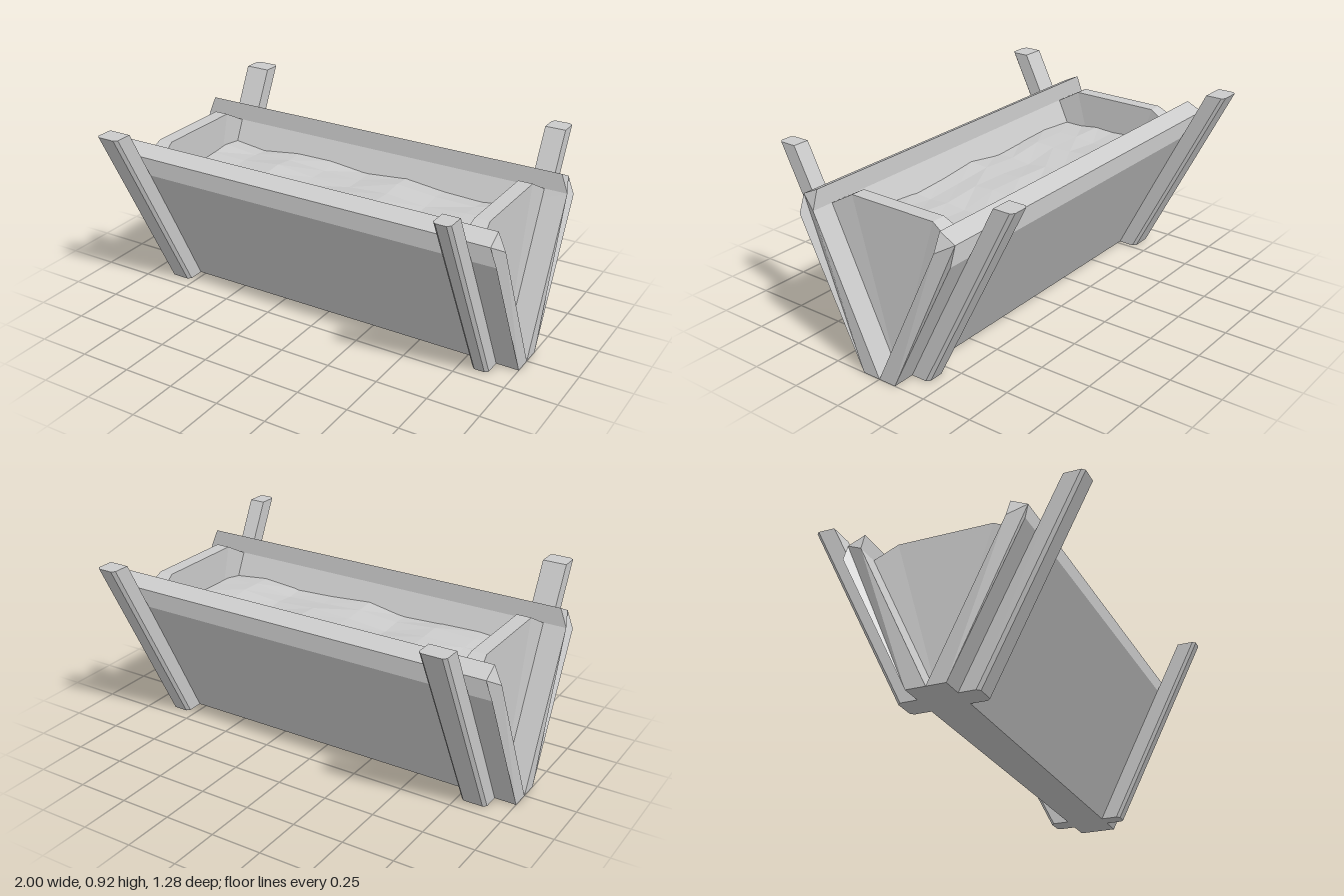
import * as THREE from 'three';

const material = new THREE.MeshStandardMaterial({ color: 0xcccccc, flatShading: true });
const sheetMaterial = new THREE.MeshStandardMaterial({
  color: 0xcccccc, flatShading: true, side: THREE.DoubleSide,
});

function addMesh(parent, geometry, name, mat = material) {
  const mesh = new THREE.Mesh(geometry, mat);
  mesh.name = name;
  parent.add(mesh);
  return mesh;
}

// Solid along x from an outline of [z, y, lowX, highX], counter-clockwise in z, y
function loftX(outline) {
  const low = outline.map(([z, y, x]) => [x, y, z]);
  const high = outline.map(([z, y, , x]) => [x, y, z]);
  const n = outline.length;
  const out = [];
  for (let i = 0; i < n; i++) {
    const j = (i + 1) % n;
    out.push(low[i], high[i], high[j], low[i], high[j], low[j]);
  }
  const flat = outline.map(([z, y]) => new THREE.Vector2(z, y));
  for (const [a, b, c] of THREE.ShapeUtils.triangulateShape(flat, [])) {
    out.push(low[a], low[b], low[c], high[a], high[c], high[b]);
  }
  const geometry = new THREE.BufferGeometry();
  geometry.setAttribute('position', new THREE.Float32BufferAttribute(out.flat(), 3));
  geometry.computeVertexNormals();
  return geometry;
}

// Leaning post: chamfered footprint extruded upwards, then sheared outwards
function postGeometry(x0, x1) {
  const c = 0.015, inner = -0.088, outer = -0.183;
  const footprint = new THREE.Shape([
    [x0, inner], [x0, outer + c], [x0 + c, outer],
    [x1 - c, outer], [x1, outer + c], [x1, inner],
  ].map(([x, s]) => new THREE.Vector2(x, s)));
  const geometry = new THREE.ExtrudeGeometry(footprint, { depth: 0.915, bevelEnabled: false });
  geometry.rotateX(-Math.PI / 2);
  const p = geometry.attributes.position;
  for (let i = 0; i < p.count; i++) p.setZ(i, p.getZ(i) + 0.5 * p.getY(i));
  geometry.computeVertexNormals();
  return geometry;
}

export function createModel() {
  const group = new THREE.Group();
  group.name = 'trough';

  // Sloping side walls with a raised lip and clipped top corners
  const wall = loftX([
    [0, 0, -1, 1], [0.09, 0, -1, 1], [0.42, 0.668, -1, 1],
    [0.42, 0.752, -0.968, 0.968], [0.34, 0.79, -0.965, 0.965], [0.335, 0.703, -1, 1],
  ]);
  addMesh(group, wall, 'frontWall');
  addMesh(group, wall, 'backWall').rotation.y = Math.PI;

  // End boards, narrowing along the top edge
  for (const [name, side] of [['leftEndBoard', 1], ['rightEndBoard', -1]]) {
    const range = (inner, outer) => (side > 0 ? [inner, outer] : [-outer, -inner]);
    addMesh(group, loftX([
      [0, 0, ...range(0.79, 0.89)],
      [0.334, 0.703, ...range(0.79, 0.89)],
      [0.225, 0.765, ...range(0.805, 0.875)],
      [-0.225, 0.765, ...range(0.805, 0.875)],
      [-0.334, 0.703, ...range(0.79, 0.89)],
    ]), name);
  }

  // Four leaning posts of slightly different widths
  addMesh(group, postGeometry(0.81, 0.89), 'frontLeftPost');
  addMesh(group, postGeometry(-0.895, -0.78), 'frontRightPost');
  addMesh(group, postGeometry(-0.89, -0.79), 'backLeftPost').rotation.y = Math.PI;
  addMesh(group, postGeometry(0.77, 0.895), 'backRightPost').rotation.y = Math.PI;

  // Uneven filling, its edges buried in the walls
  const filling = new THREE.PlaneGeometry(1.64, 0.6, 8, 6);
  filling.rotateX(-Math.PI / 2);
  const p = filling.attributes.position;
  for (let i = 0; i < p.count; i++) {
    const x = p.getX(i), z = p.getZ(i);
    p.setY(i, 0.6 + 0.012 * Math.sin(11 * x + 4 * z) + 0.006 * Math.cos(23 * z - 5 * x));
  }
  filling.computeVertexNormals();
  addMesh(group, filling, 'filling', sheetMaterial);

  return group;
}
